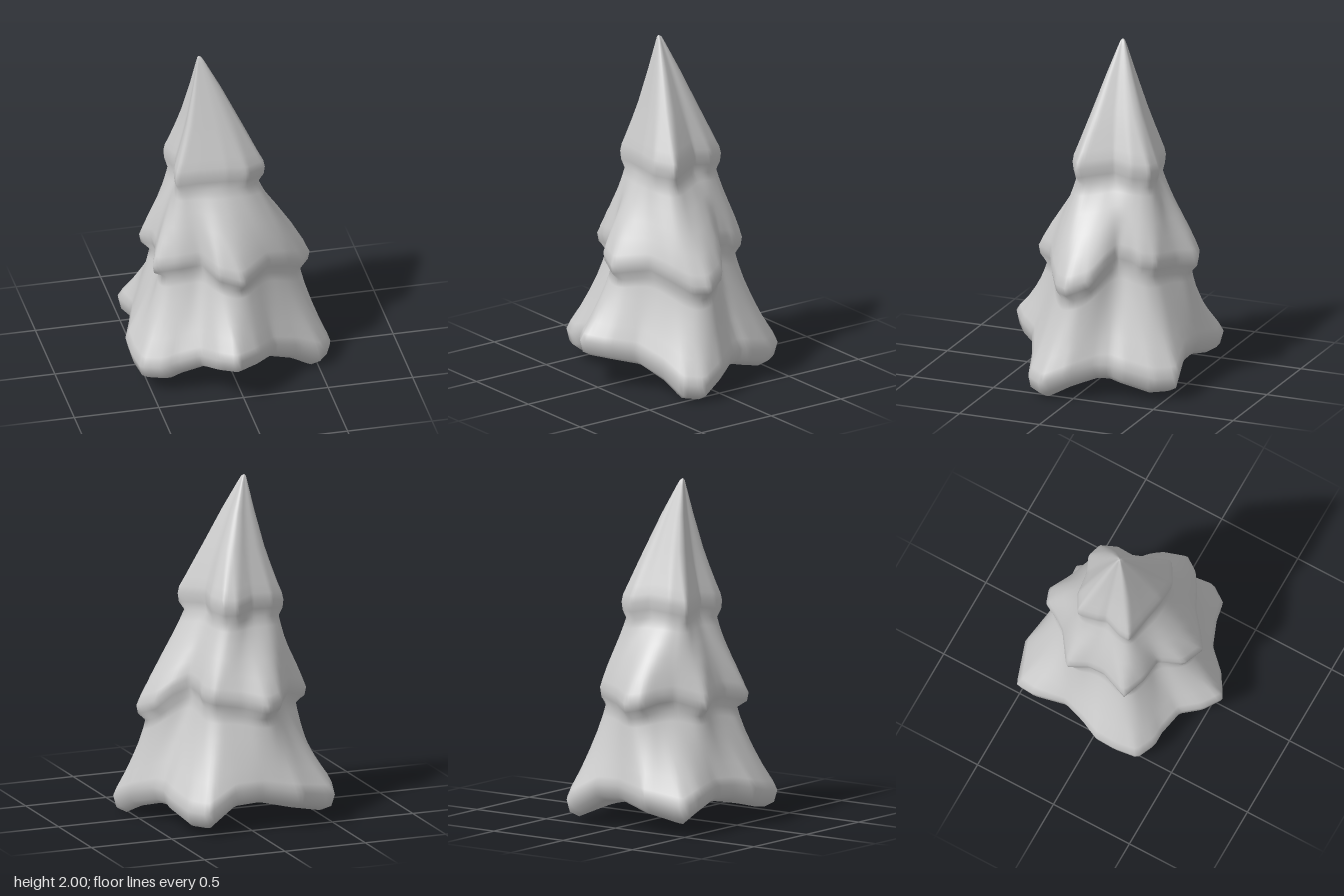
import * as THREE from 'three';

const SIDES = 144;

// Rim of each tier as [x, y, z] points around a centre [x, z]
const top = {
  centre: [-0.09, -0.06],
  rim: [
    [0.22, 1.29, 0.105], [0.10, 1.3, 0.175], [-0.02, 1.31, 0.17], [-0.18, 1.30, 0.14],
    [-0.31, 1.28, 0.115], [-0.31, 1.29, 0.05], [-0.275, 1.31, -0.055], [-0.29, 1.30, -0.10],
    [-0.31, 1.28, -0.225], [-0.22, 1.3, -0.275], [-0.09, 1.31, -0.29], [0.02, 1.29, -0.335],
    [0.10, 1.29, -0.31], [0.14, 1.3, -0.21], [0.13, 1.32, -0.10], [0.165, 1.31, -0.02],
  ],
};
const middle = {
  centre: [0, -0.05],
  rim: [
    [0.495, 0.66, 0.055], [0.435, 0.66, 0.14], [0.33, 0.72, 0.21], [0.20, 0.77, 0.275],
    [0.10, 0.75, 0.36], [0.02, 0.73, 0.42], [-0.12, 0.77, 0.375], [-0.19, 0.81, 0.24],
    [-0.32, 0.79, 0.225], [-0.46, 0.75, 0.165], [-0.405, 0.79, 0], [-0.41, 0.79, -0.10],
    [-0.455, 0.74, -0.22], [-0.30, 0.8, -0.33], [-0.24, 0.79, -0.41], [-0.185, 0.76, -0.50],
    [-0.09, 0.74, -0.535], [0.03, 0.77, -0.46], [0.195, 0.79, -0.39], [0.235, 0.80, -0.31],
    [0.235, 0.83, -0.26], [0.255, 0.85, -0.17], [0.35, 0.8, -0.125], [0.435, 0.71, -0.07],
  ],
};
const base = {
  centre: [0, 0],
  rim: [
    [0.55, 0.17, 0.02], [0.595, 0.1, 0.17], [0.52, 0.11, 0.275], [0.38, 0.19, 0.31],
    [0.21, 0.26, 0.38], [0.09, 0.28, 0.50], [-0.05, 0.29, 0.59], [-0.15, 0.28, 0.52],
    [-0.23, 0.26, 0.41], [-0.37, 0.21, 0.37], [-0.45, 0.18, 0.365], [-0.565, 0.17, 0.31],
    [-0.59, 0.19, 0.17], [-0.595, 0.22, 0.05], [-0.55, 0.25, -0.06], [-0.505, 0.26, -0.20],
    [-0.535, 0.22, -0.40], [-0.51, 0.165, -0.515], [-0.27, 0.22, -0.59], [-0.06, 0.26, -0.545],
    [0.11, 0.25, -0.54], [0.30, 0.14, -0.57], [0.38, 0.14, -0.46], [0.43, 0.19, -0.28],
    [0.43, 0.21, -0.20], [0.46, 0.21, -0.12],
  ],
};

// Resample a rim at equal angles around its centre
function sampleRim({ centre, rim }) {
  const TAU = Math.PI * 2;
  const polar = rim.map(([x, y, z]) => {
    const dx = x - centre[0], dz = z - centre[1];
    return { a: (Math.atan2(dz, dx) + TAU) % TAU, x, y, z };
  }).sort((p, q) => p.a - q.a);
  const first = polar[0], last = polar[polar.length - 1];
  const loop = [{ ...last, a: last.a - TAU }, ...polar, { ...first, a: first.a + TAU }];
  return Array.from({ length: SIDES }, (_, i) => {
    const a = (i / SIDES) * TAU;
    const k = loop.findIndex((p) => p.a > a);
    const p = loop[k - 1], q = loop[k];
    // Where the ray at this angle crosses the rim segment
    const c = Math.cos(a), s = Math.sin(a);
    const side = (v) => (v.z - centre[1]) * c - (v.x - centre[0]) * s;
    const t = side(p) / (side(p) - side(q));
    return new THREE.Vector3(p.x, p.y, p.z).lerp(new THREE.Vector3(q.x, q.y, q.z), t);
  });
}

// Round off the corners of a ring by averaging neighbours
const soften = (ring, reach) => ring.map((_, i) => {
  const sum = new THREE.Vector3();
  for (let k = -reach; k <= reach; k++) sum.add(ring[(i + k + SIDES) % SIDES]);
  return sum.divideScalar(2 * reach + 1);
});

// Shrink a ring toward its centre and lower it
const inset = (ring, [cx, cz], scale, drop) => ring.map((p) =>
  new THREE.Vector3(cx + (p.x - cx) * scale, p.y - drop, cz + (p.z - cz) * scale));

// Blend two rings: f sets the spread, t sets the height
const blend = (a, b, f, t) => a.map((p, i) => {
  const v = p.clone().lerp(b[i], f);
  v.y = THREE.MathUtils.lerp(p.y, b[i].y, t);
  return v;
});

// Skin the rings from top to bottom
function loft(rings) {
  const positions = rings.flat().flatMap((p) => [p.x, p.y, p.z]);
  const index = [];
  for (let r = 0; r < rings.length - 1; r++) {
    for (let i = 0; i < SIDES; i++) {
      const j = (i + 1) % SIDES;
      const a = r * SIDES + i, b = r * SIDES + j, c = a + SIDES, d = b + SIDES;
      if (r > 0) index.push(a, b, c);
      if (r < rings.length - 2) index.push(b, d, c);
    }
  }
  const geometry = new THREE.BufferGeometry();
  geometry.setAttribute('position', new THREE.Float32BufferAttribute(positions, 3));
  geometry.setIndex(index);
  geometry.computeVertexNormals();
  return geometry;
}

export function createModel() {
  const [topRim, midRim, baseRim] = [top, middle, base].map(sampleRim);
  const point = (x, y, z) => Array.from({ length: SIDES }, () => new THREE.Vector3(x, y, z));
  const tip = point(-0.14, 2, -0.04);
  const rings = [tip];

  // Pointed crown, rounder near the tip and bowed slightly to +x
  const crown = [[0.05, 0.015], [0.1, 0.06], [0.33, 0.29], [0.6, 0.57], [0.75, 0.72], [0.89, 0.86], [0.97, 0.94], [1, 1]];
  for (const [f, t] of crown) {
    const ring = blend(tip, soften(topRim, Math.round(6 * (1 - t))), f, t);
    for (const p of ring) p.x += 0.015 * Math.sin(Math.PI * t);
    rings.push(ring);
  }

  // Rolled lip and neck under a tier, then the flared skirt down to the next rim
  const addTier = (rim, centre, neckScale, nextRim, skirt, rounding) => {
    rings.push(inset(rim, centre, 0.98, 0.05));
    const neck = soften(inset(rim, centre, neckScale, 0.1), 3);
    rings.push(neck);
    for (const [f, t] of skirt) {
      rings.push(blend(neck, soften(nextRim, Math.round(rounding * (1 - t))), f, t));
    }
  };
  const fullSkirt = [[0.12, 0.12], [0.32, 0.3], [0.55, 0.5], [0.76, 0.7], [0.93, 0.89], [1, 1]];
  const hollowSkirt = [[0.08, 0.12], [0.23, 0.3], [0.43, 0.5], [0.65, 0.7], [0.89, 0.89], [1, 1]];
  addTier(topRim, top.centre, 0.94, midRim, fullSkirt, 8);
  addTier(midRim, middle.centre, 0.92, baseRim, hollowSkirt, 4);

  // Rounded feet and closed underside
  const centre = point(0, 0.12, 0);
  const foot = inset(baseRim, base.centre, 0.88, 0.1);
  rings.push(inset(baseRim, base.centre, 0.97, 0.07), foot);
  rings.push(blend(foot, centre, 0.35, 0.75), centre);

  const tree = new THREE.Mesh(loft(rings), new THREE.MeshStandardMaterial({ color: 0xcccccc }));
  tree.name = 'tieredTree';
  const group = new THREE.Group();
  group.name = 'tree';
  group.add(tree);
  return group;
}
